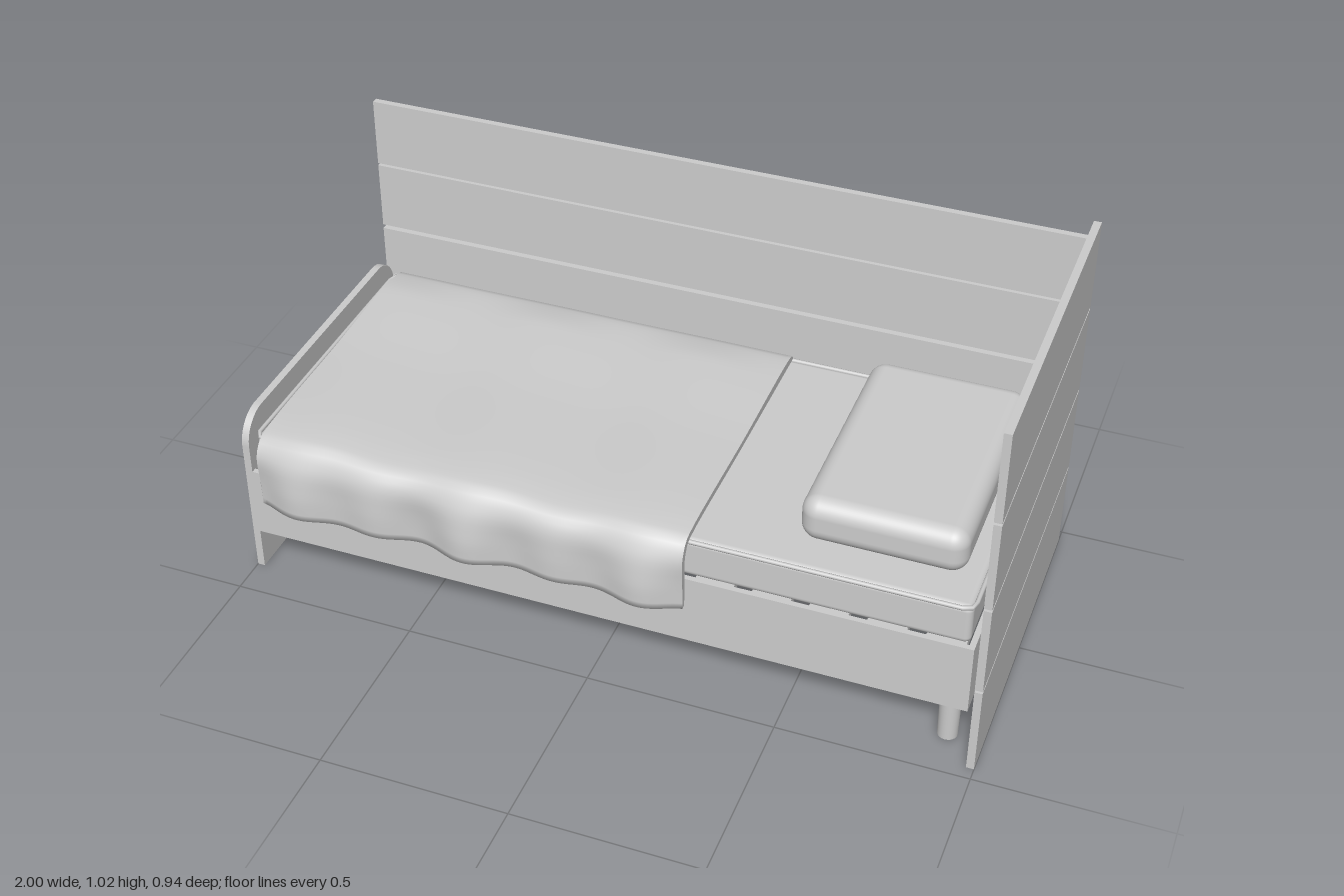
import * as THREE from 'three';
import { RoundedBoxGeometry } from 'three/addons/geometries/RoundedBoxGeometry.js';

export function createModel() {
  const bed = new THREE.Group();
  bed.name = 'bed';
  const grey = new THREE.MeshStandardMaterial({ color: 0xcccccc, side: THREE.DoubleSide });
  grey.name = 'plain grey';

  const add = (name, geometry) => {
    const mesh = new THREE.Mesh(geometry, grey);
    mesh.name = name;
    bed.add(mesh);
    return mesh;
  };
  // Box given by its limits on each axis; a radius rounds its edges
  const box = (name, [x0, x1], [y0, y1], [z0, z1], radius = 0) => {
    const size = [x1 - x0, y1 - y0, z1 - z0];
    const g = radius ? new RoundedBoxGeometry(...size, 6, radius) : new THREE.BoxGeometry(...size);
    add(name, g).position.set((x0 + x1) / 2, (y0 + y1) / 2, (z0 + z1) / 2);
  };

  // Tall headboard of four planks
  for (let i = 0; i < 4; i++) {
    box('headboardPlank', [0.98, 1], [i * 0.2565, i * 0.2565 + 0.25], [-0.465, 0.465]);
  }
  box('headboardBatten', [0.974, 0.98], [0.1, 0.97], [-0.464, -0.445]);

  // Back panel of three planks
  for (const y of [0.375, 0.58, 0.78]) {
    box('backPlank', [-1, 0.975], [y, y + 0.193], [-0.47, -0.452]);
  }

  // Footboard with rounded top corners, drawn in the z-y plane
  const r = 0.085, back = -0.45, front = 0.4, top = 0.485;
  const foot = new THREE.Shape();
  foot.moveTo(-front, 0);
  foot.lineTo(-back, 0);
  foot.lineTo(-back, top - r);
  foot.absarc(-back - r, top - r, r, 0, Math.PI / 2);
  foot.absarc(-front + r, top - r, r, Math.PI / 2, Math.PI);
  foot.closePath();
  const footGeometry = new THREE.ExtrudeGeometry(foot, { depth: 0.02, bevelEnabled: false, curveSegments: 12 });
  footGeometry.rotateY(Math.PI / 2);
  add('footboard', footGeometry).position.x = -1;

  // Side rails, end rail and corner brackets
  box('frontRail', [-0.98, 0.957], [0.12, 0.32], [0.385, 0.4]);
  box('backRail', [-0.98, 0.957], [0.12, 0.32], [-0.45, -0.435]);
  box('headRail', [0.942, 0.957], [0.12, 0.32], [-0.435, 0.385]);
  for (const x of [-0.965, 0.945]) box('bracket', [x - 0.01, x + 0.01], [0.28, 0.42], [-0.452, -0.435]);

  // Slats under the mattress
  for (let i = 0; i < 13; i++) {
    const x = -0.88 + i * 0.147;
    box('slat', [x - 0.05, x + 0.05], [0.295, 0.315], [-0.435, 0.385]);
  }

  // Round legs at the head end
  for (const z of [-0.415, 0.365]) {
    add('leg', new THREE.CylinderGeometry(0.028, 0.026, 0.15, 24)).position.set(0.907, 0.075, z);
  }

  // Mattress with piping round its upper edge
  box('mattress', [-0.965, 0.942], [0.317, 0.433], [-0.433, 0.385], 0.018);
  const hx = 0.955, hz = 0.409, c = 0.03;
  const corners = [[1, 1], [-1, 1], [-1, -1], [1, -1]];
  const outline = new THREE.CurvePath();
  const at = (x, z) => new THREE.Vector3(x, 0, z);
  corners.forEach(([sx, sz], i) => {
    const [nx, nz] = corners[(i + 1) % 4];
    const inX = sx === sz; // corners reached along z leave along x
    const enter = inX ? at(sx * hx, sz * (hz - c)) : at(sx * (hx - c), sz * hz);
    const leave = inX ? at(sx * (hx - c), sz * hz) : at(sx * hx, sz * (hz - c));
    const next = inX ? at(nx * (hx - c), nz * hz) : at(nx * hx, nz * (hz - c));
    outline.add(new THREE.QuadraticBezierCurve3(enter, at(sx * hx, sz * hz), leave));
    outline.add(new THREE.LineCurve3(leave, next));
  });
  add('mattressPiping', new THREE.TubeGeometry(outline, 240, 0.006, 8, true)).position.set(-0.011, 0.429, -0.024);

  // Pillow
  box('pillow', [0.477, 0.897], [0.437, 0.563], [-0.353, 0.3], 0.045);

  add('blanket', blanketGeometry());
  return bed;
}

// Draped sheet: a thick z-y cross-section swept along x and rippled
function blanketGeometry() {
  const curve = (points) => new THREE.CatmullRomCurve3(points.map(([z, y]) => new THREE.Vector3(0, y, z)), false, 'centripetal');
  const outer = curve([[-0.435, 0.437], [-0.425, 0.449], [0, 0.451], [0.36, 0.45], [0.41, 0.44], [0.438, 0.405], [0.445, 0.33], [0.445, 0.248]]);
  const inner = curve([[0.432, 0.248], [0.43, 0.33], [0.42, 0.40], [0.4, 0.427], [0.36, 0.434], [0, 0.434], [-0.43, 0.434]]);
  const section = [...outer.getSpacedPoints(60), ...inner.getSpacedPoints(50)];
  const n = section.length, steps = 100, x0 = -0.94, x1 = 0.23;
  const positions = [], index = [];
  for (let i = 0; i <= steps; i++) {
    const x = x0 + (x1 - x0) * i / steps;
    for (const p of section) {
      const s = x - p.z * 0.15;
      const wave = 0.6 * Math.sin(s * 26) + 0.4 * Math.sin(s * 15 + 1.3);
      const hang = THREE.MathUtils.smoothstep(0.45 - p.y, 0, 0.16) * THREE.MathUtils.smoothstep(p.z, 0.35, 0.43);
      const lift = 0.5 + 0.5 * Math.sin(s * 14 + 0.8);
      const onTop = THREE.MathUtils.smoothstep(p.y, 0.41, 0.447) * THREE.MathUtils.smoothstep(p.z, -0.44, -0.3);
      positions.push(x, p.y + 0.012 * lift * onTop, p.z + 0.016 * wave * hang + 0.004 * wave * (p.z > 0.35 ? 1 : 0));
    }
  }
  for (let i = 0; i < steps; i++) {
    for (let j = 0; j < n; j++) {
      const a = i * n + j, b = i * n + (j + 1) % n;
      index.push(a, b, a + n, b, b + n, a + n);
    }
  }
  // End caps with their own corners, so the cut edges stay sharp
  for (const ring of [0, steps]) {
    const start = positions.length / 3;
    positions.push(...positions.slice(ring * n * 3, (ring + 1) * n * 3));
    const flat = section.map((p) => new THREE.Vector2(p.z, p.y));
    for (const [a, b, d] of THREE.ShapeUtils.triangulateShape(flat, [])) {
      if (ring) index.push(start + a, start + d, start + b);
      else index.push(start + a, start + b, start + d);
    }
  }
  // Keep outward winding: the sheet's upper face must point up
  const g = new THREE.BufferGeometry();
  g.setAttribute('position', new THREE.Float32BufferAttribute(positions, 3));
  g.setIndex(index);
  g.computeVertexNormals();
  if (g.attributes.normal.getY(50 * n + 25) < 0) {
    for (let i = 0; i < index.length; i += 3) [index[i], index[i + 1]] = [index[i + 1], index[i]];
    g.setIndex(index);
    g.computeVertexNormals();
  }
  return g;
}
